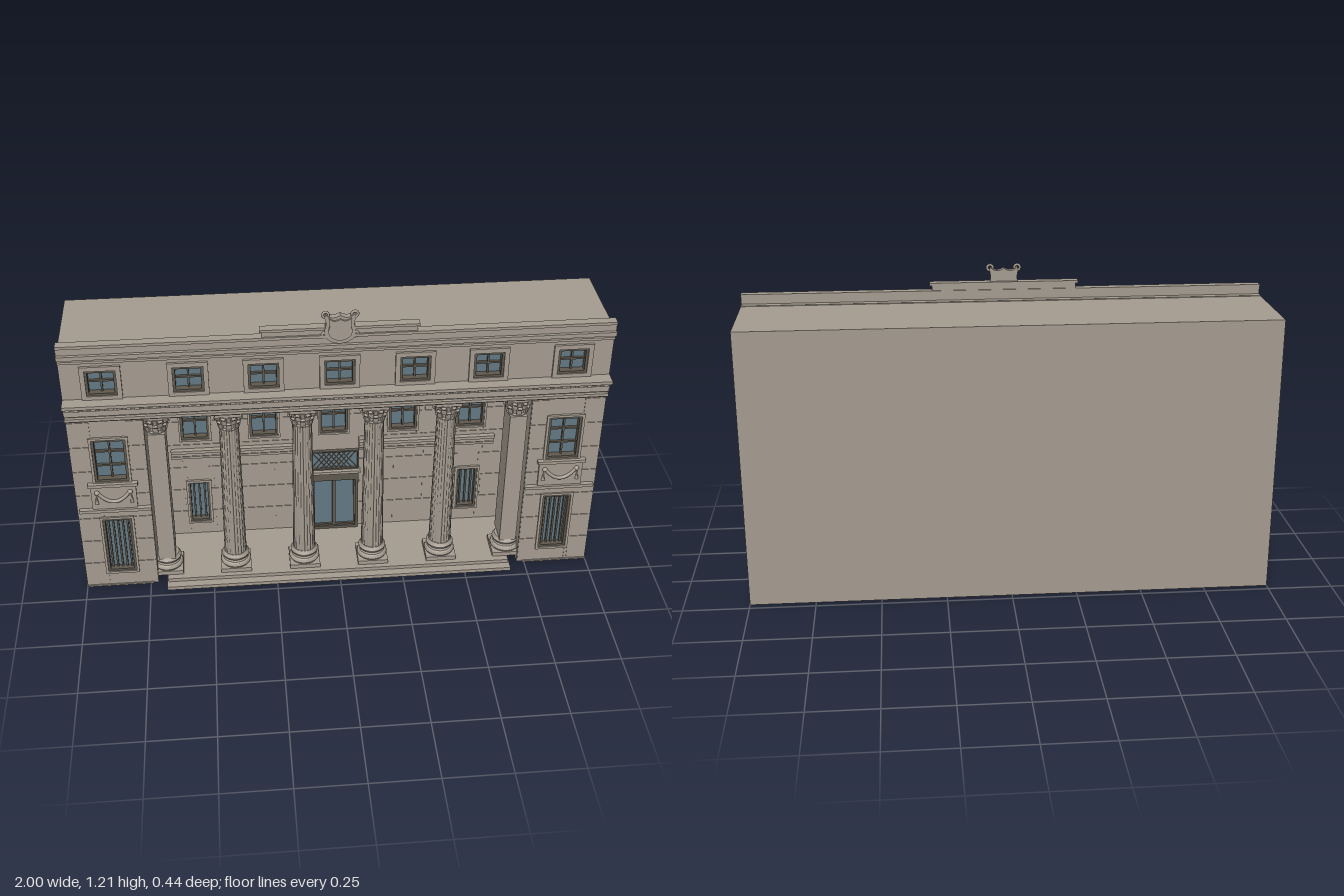
import * as THREE from 'three';
import { mergeGeometries, toCreasedNormals } from 'three/addons/utils/BufferGeometryUtils.js';

const mat = (name, color) => Object.assign(new THREE.MeshStandardMaterial({ color }), { name });

export function createModel() {
  const stone = mat('stone', 0xa69d91);
  const glass = mat('glass', 0x647a85);
  const frame = mat('window frame', 0x5f594f);
  const model = new THREE.Group();
  const FRONT = 0.17, BACK = -0.09, IN = 0.72, TOP = 0.785;

  // ---- helpers ----
  function add(name, geo, material = stone, parent = model) {
    const m = new THREE.Mesh(geo, material);
    m.name = name;
    parent.add(m);
    return m;
  }
  // box given by its limits
  function boxGeo(x0, x1, y0, y1, z0, z1) {
    return new THREE.BoxGeometry(x1 - x0, y1 - y0, z1 - z0)
      .translate((x0 + x1) / 2, (y0 + y1) / 2, (z0 + z1) / 2);
  }
  const box = (name, x0, x1, y0, y1, z0, z1, m = stone, p = model) =>
    add(name, boxGeo(x0, x1, y0, y1, z0, z1), m, p);
  const rect = (C, x0, x1, y0, y1) => new C([[x0, y0], [x1, y0], [x1, y1], [x0, y1]].map(p => new THREE.Vector2(...p)));
  const extrude = (shape, z0, z1) =>
    new THREE.ExtrudeGeometry(shape, { depth: z1 - z0, bevelEnabled: false, curveSegments: 8 }).translate(0, 0, z0);
  // rectangular ring of border t inside the given limits
  function ring(x0, x1, y0, y1, t, z0, z1) {
    const s = rect(THREE.Shape, x0, x1, y0, y1);
    s.holes.push(rect(THREE.Path, x0 + t, x1 - t, y0 + t, y1 - t));
    return extrude(s, z0, z1);
  }

  // ---- openings: [x, width, y0, y1, columns, rows, surround] ----
  const frontWins = [], backWins = [[0, 0.11, 0.505, 0.66, 2, 2, 0.008]];
  for (const s of [-1, 1]) {
    frontWins.push([s * 0.855, 0.125, 0.515, 0.705, 2, 3, 0.01], [s * 0.855, 0.11, 0.075, 0.335, 6, 1, 0.01]);
    for (const x of [0.275, 0.545, 0.855]) frontWins.push([s * x, 0.11, 0.9, 1.005, 2, 2, 0.018]);
    for (const x of [0.275, 0.545]) backWins.push([s * x, 0.11, 0.505, 0.66, 2, 2, 0.008]);
    backWins.push([s * 0.545, 0.085, 0.095, 0.295, 4, 1, 0.008]);
  }
  frontWins.push([0, 0.11, 0.9, 1.005, 2, 2, 0.018]);
  const hole = ([x, w, y0, y1]) => rect(THREE.Path, x - w / 2, x + w / 2, y0, y1);

  function addWindow([x, w, y0, y1, cols, rows, sur], z) {
    const g = new THREE.Group();
    g.name = 'window';
    model.add(g);
    const x0 = x - w / 2, x1 = x + w / 2;
    box('windowGlass', x0, x1, y0, y1, z - 0.029, z - 0.022, glass, g);
    const bars = [ring(x0, x1, y0, y1, 0.009, z - 0.025, z + 0.004)];
    const b = 0.0035;
    for (let i = 1; i < cols; i++) {
      const c = x0 + w * i / cols;
      bars.push(boxGeo(c - b, c + b, y0, y1, z - 0.024, z - 0.012).toNonIndexed());
    }
    for (let i = 1; i < rows; i++) {
      const c = y0 + (y1 - y0) * i / rows;
      bars.push(boxGeo(x0, x1, c - b, c + b, z - 0.024, z - 0.012).toNonIndexed());
    }
    add('windowBars', mergeGeometries(bars), frame, g);
    add('windowSurround', ring(x0 - sur, x1 + sur, y0 - sur, y1 + sur, sur, z, z + 0.009), stone, g);
  }

  // shallow masonry courses, interrupted by openings
  function masonry(x0, x1, y0, y1, z, wins, step, len) {
    const parts = [], n = Math.round((y1 - y0) / step), h = (y1 - y0) / n, gap = 0.002;
    for (let r = 0; r < n; r++) {
      const a = y0 + r * h + gap, b = a + h - 2 * gap;
      const cuts = wins.filter(w => w[2] < b && w[3] > a).map(w => [w[0] - w[1] / 2, w[0] + w[1] / 2]);
      for (let x = x0 - (r % 2) * len / 2; x < x1 - 0.001; x += len) {
        let spans = [[Math.max(x, x0) + gap, Math.min(x + len, x1) - gap]];
        for (const [c0, c1] of cuts)
          spans = spans.flatMap(([p, q]) => (c1 < p || c0 > q) ? [[p, q]] : [[p, c0], [c1, q]]);
        for (const [p, q] of spans) if (q - p > 0.004) parts.push(boxGeo(p, q, a, b, z, z + 0.0025));
      }
    }
    add('masonryBlocks', mergeGeometries(parts));
  }

  // ---- shell, open underneath ----
  box('backWall', -1, 1, 0, 1.075, -0.222, -0.212);
  for (const s of [-1, 1]) {
    box('sideWall', s * 0.995 - 0.005, s * 0.995 + 0.005, 0, 1.075, -0.212, FRONT);
    box('porticoSideWall', s * 0.725 - 0.005, s * 0.725 + 0.005, 0, TOP, BACK - 0.03, 0.14);
  }
  box('roof', -0.99, 0.99, 1.065, 1.075, -0.212, 0.14);
  box('porticoCeiling', -IN, IN, TOP, TOP + 0.01, BACK - 0.03, 0.14);
  const facade = new THREE.Shape([[-0.99, 0], [-IN, 0], [-IN, TOP], [IN, TOP], [IN, 0], [0.99, 0], [0.99, 1.075], [-0.99, 1.075]]
    .map(p => new THREE.Vector2(...p)));
  facade.holes.push(...frontWins.map(hole));
  add('frontWall', extrude(facade, 0.14, FRONT));
  const inner = rect(THREE.Shape, -IN, IN, 0, TOP);
  inner.holes.push(...backWins.map(hole));
  add('porticoBackWall', extrude(inner, BACK - 0.03, BACK));
  frontWins.forEach(w => addWindow(w, FRONT));
  backWins.forEach(w => addWindow(w, BACK));
  masonry(-1, -IN, 0.01, 0.785, FRONT, frontWins, 0.11, 0.2);
  masonry(IN, 1, 0.01, 0.785, FRONT, frontWins, 0.11, 0.2);
  masonry(-IN, IN, 0.04, 0.7, BACK, [...backWins, [0, 0.2, 0.03, 0.42]], 0.11, 0.24);

  // ---- floor and steps ----
  box('lowerStep', -0.685, 0.685, 0, 0.015, BACK, 0.222);
  box('porticoFloor', -0.68, 0.68, 0.015, 0.03, BACK, 0.19);

  // ---- back wall bands ----
  for (const s of [-1, 1]) {
    const band = (y0, y1, d) => box('stringCourse', s < 0 ? -0.645 : 0.1, s < 0 ? -0.1 : 0.645, y0, y1, BACK, BACK + d);
    band(0.415, 0.425, 0.01); band(0.43, 0.443, 0.014); band(0.447, 0.46, 0.022);
  }
  box('upperBand', -IN, IN, 0.705, 0.712, BACK, BACK + 0.008);
  box('upperBand', -IN, IN, 0.735, 0.745, BACK, BACK + 0.012);

  // ---- entrance ----
  const door = new THREE.Group();
  door.name = 'entrance';
  model.add(door);
  const zd = BACK + 0.004;
  box('doorGlass', -0.09, 0.09, 0.045, 0.285, BACK, zd, glass, door);
  add('doorFrame', ring(-0.098, 0.098, 0.03, 0.315, 0.012, BACK, BACK + 0.02), frame, door);
  box('doorHead', -0.098, 0.098, 0.278, 0.315, BACK, BACK + 0.022, frame, door);
  for (const s of [-1, 1]) add('doorLeaf', ring(s * 0.043 - 0.043, s * 0.043 + 0.043, 0.042, 0.28, 0.007, BACK, BACK + 0.012), frame, door);
  box('doorCornice', -0.105, 0.105, 0.315, 0.327, BACK, BACK + 0.03, stone, door);
  box('transomGlass', -0.095, 0.095, 0.327, 0.415, BACK, zd, glass, door);
  add('transomFrame', ring(-0.1, 0.1, 0.327, 0.418, 0.006, BACK, BACK + 0.014), frame, door);
  const lattice = [];
  for (let i = -3; i <= 3; i++) for (const s of [-1, 1])
    lattice.push(new THREE.BoxGeometry(0.003, 0.105, 0.004).rotateZ(s * 0.65).translate(i * 0.02, 0.372, BACK + 0.006));
  add('transomLattice', mergeGeometries(lattice), frame, door);

  // ---- columns ----
  const lathe = pts => toCreasedNormals(new THREE.LatheGeometry(pts.map(p => new THREE.Vector2(...p)), 32), 0.6);
  const shaftGeo = new THREE.CylinderGeometry(0.037, 0.044, 0.6, 80, 1);
  const sp = shaftGeo.attributes.position;
  for (let i = 0; i < sp.count; i++) {   // flutes
    const a = Math.atan2(sp.getZ(i), sp.getX(i));
    const k = 1 - 0.1 * Math.max(0, Math.cos(a * 20));
    sp.setX(i, sp.getX(i) * k);
    sp.setZ(i, sp.getZ(i) * k);
  }
  shaftGeo.computeVertexNormals();
  shaftGeo.translate(0, 0.402, 0);
  const baseGeo = lathe([[0, 0.048], [0.056, 0.048], [0.06, 0.056], [0.056, 0.066], [0.05, 0.07], [0.047, 0.078],
    [0.052, 0.083], [0.054, 0.09], [0.049, 0.097], [0.045, 0.104], [0, 0.104]]);
  const bellGeo = lathe([[0, 0.698], [0.04, 0.698], [0.042, 0.703], [0.037, 0.708], [0.037, 0.73], [0.042, 0.75], [0.05, 0.765], [0, 0.765]]);
  // two tiers of curling leaves and corner scrolls
  const leafParts = [];
  for (let t = 0; t < 2; t++) for (let i = 0; i < 8; i++) {
    const a = (i + t / 2) * Math.PI / 4, y = 0.722 + t * 0.02;
    leafParts.push(new THREE.BoxGeometry(0.02, 0.03, 0.006).rotateX(0.2).translate(0, y, 0.042 + t * 0.002).rotateY(a),
      new THREE.BoxGeometry(0.016, 0.007, 0.01).rotateX(0.5).translate(0, y + 0.014, 0.049 + t * 0.002).rotateY(a));
  }
  for (let i = 0; i < 4; i++)
    leafParts.push(new THREE.CylinderGeometry(0.009, 0.009, 0.012, 10).rotateZ(Math.PI / 2)
      .translate(0, 0.761, 0.057).rotateY((i + 0.5) * Math.PI / 2));
  const leafGeo = mergeGeometries(leafParts);

  function column(x, z, square) {
    const g = new THREE.Group();
    g.name = square ? 'cornerPilaster' : 'column';
    g.position.set(x, 0, z);
    model.add(g);
    box('plinth', -0.06, 0.06, 0.03, 0.048, -0.06, 0.06, stone, g);
    add('columnBase', baseGeo, stone, g);
    if (square) box('pilasterShaft', -0.033, 0.033, 0.1, 0.7, -0.06, 0.045, stone, g);
    else add('flutedShaft', shaftGeo, stone, g);
    add('capitalBell', bellGeo, stone, g);
    add('capitalLeaves', leafGeo, stone, g);
    box('abacus', -0.05, 0.05, 0.767, 0.785, -0.05, 0.05, stone, g);
  }
  for (const s of [-1, 1]) {
    for (const x of [0.136, 0.41]) column(s * x, 0.11, false);
    column(s * 0.68, 0.105, true);
  }

  // ---- entablature: [y0, y1, front z] ----
  for (const [y0, y1, z] of [[0.79, 0.797, 0.178], [0.8, 0.812, 0.19], [0.815, 0.822, 0.182], [0.822, 0.836, 0.19],
    [0.836, 0.848, 0.194], [0.848, 0.864, 0.188], [0.864, 0.872, 0.21], [0.872, 0.885, 0.222]])
    box('corniceBand', -1, 1, y0, y1, FRONT, z);
  const dentils = [];
  for (let i = 0; i < 64; i++) {
    const x = -0.984 + i * 0.03124;
    dentils.push(boxGeo(x - 0.009, x + 0.009, 0.851, 0.864, 0.188, 0.201));
  }
  add('dentils', mergeGeometries(dentils));

  // ---- parapet ----
  box('atticMoulding', -1, 1, 1.04, 1.05, FRONT, 0.181);
  box('parapetCornice', -1, 1, 1.062, 1.078, 0.13, 0.194);
  box('parapet', -1, 1, 1.075, 1.108, 0.157, 0.182);
  box('parapetCap', -1, 1, 1.105, 1.116, 0.153, 0.187);
  box('parapetCentre', -0.277, 0.277, 1.116, 1.138, 0.157, 0.18);
  box('parapetCentreCap', -0.285, 0.285, 1.136, 1.146, 0.152, 0.185);

  // ---- plain shield with scrolls ----
  function shieldGeo(k, z0, z1) {
    const s = new THREE.Shape();
    s.moveTo(0, -0.065);
    s.bezierCurveTo(0.05, -0.06, 0.065, -0.03, 0.052, 0.005);
    s.bezierCurveTo(0.046, 0.02, 0.06, 0.04, 0.052, 0.055);
    s.quadraticCurveTo(0.03, 0.03, 0, 0.05);
    s.quadraticCurveTo(-0.03, 0.03, -0.052, 0.055);
    s.bezierCurveTo(-0.06, 0.04, -0.046, 0.02, -0.052, 0.005);
    s.bezierCurveTo(-0.065, -0.03, -0.05, -0.06, 0, -0.065);
    return extrude(s, z0, z1).scale(k, k, 1).translate(0, 1.146, 0);
  }
  add('shield', shieldGeo(1, 0.165, 0.189));
  add('shieldFace', shieldGeo(0.75, 0.189, 0.196));
  for (const s of [-1, 1]) {
    add('shieldScroll', new THREE.TorusGeometry(0.011, 0.005, 8, 16).translate(s * 0.052, 1.196, 0.181));
    add('shieldScroll', new THREE.TorusGeometry(0.01, 0.005, 8, 16).translate(s * 0.054, 1.115, 0.181));
  }

  // ---- wing panels with festoons ----
  for (const s of [-1, 1]) {
    const c = s * 0.855;
    box('wingSill', c - 0.135, c + 0.135, 0.378, 0.391, FRONT, 0.19);
    box('wingPanel', c - 0.085, c + 0.085, 0.391, 0.5, FRONT, 0.181);
    box('panelCap', c - 0.093, c + 0.093, 0.498, 0.511, FRONT, 0.192);
    const arc = new THREE.QuadraticBezierCurve3(new THREE.Vector3(c - 0.06, 0.468, 0.182),
      new THREE.Vector3(c, 0.385, 0.186), new THREE.Vector3(c + 0.06, 0.468, 0.182));
    add('festoon', new THREE.TubeGeometry(arc, 20, 0.007, 8));
    for (const t of [-1, 1]) {
      add('festoonKnot', new THREE.SphereGeometry(0.01, 10, 8).translate(c + t * 0.062, 0.468, 0.182));
      add('festoonTail', new THREE.ConeGeometry(0.007, 0.045, 8).translate(c + t * 0.066, 0.44, 0.182));
    }
    box('wingFooting', s < 0 ? -1 : 0.74, s < 0 ? -0.74 : 1, 0, 0.006, FRONT, 0.176);
  }
  return model;
}
